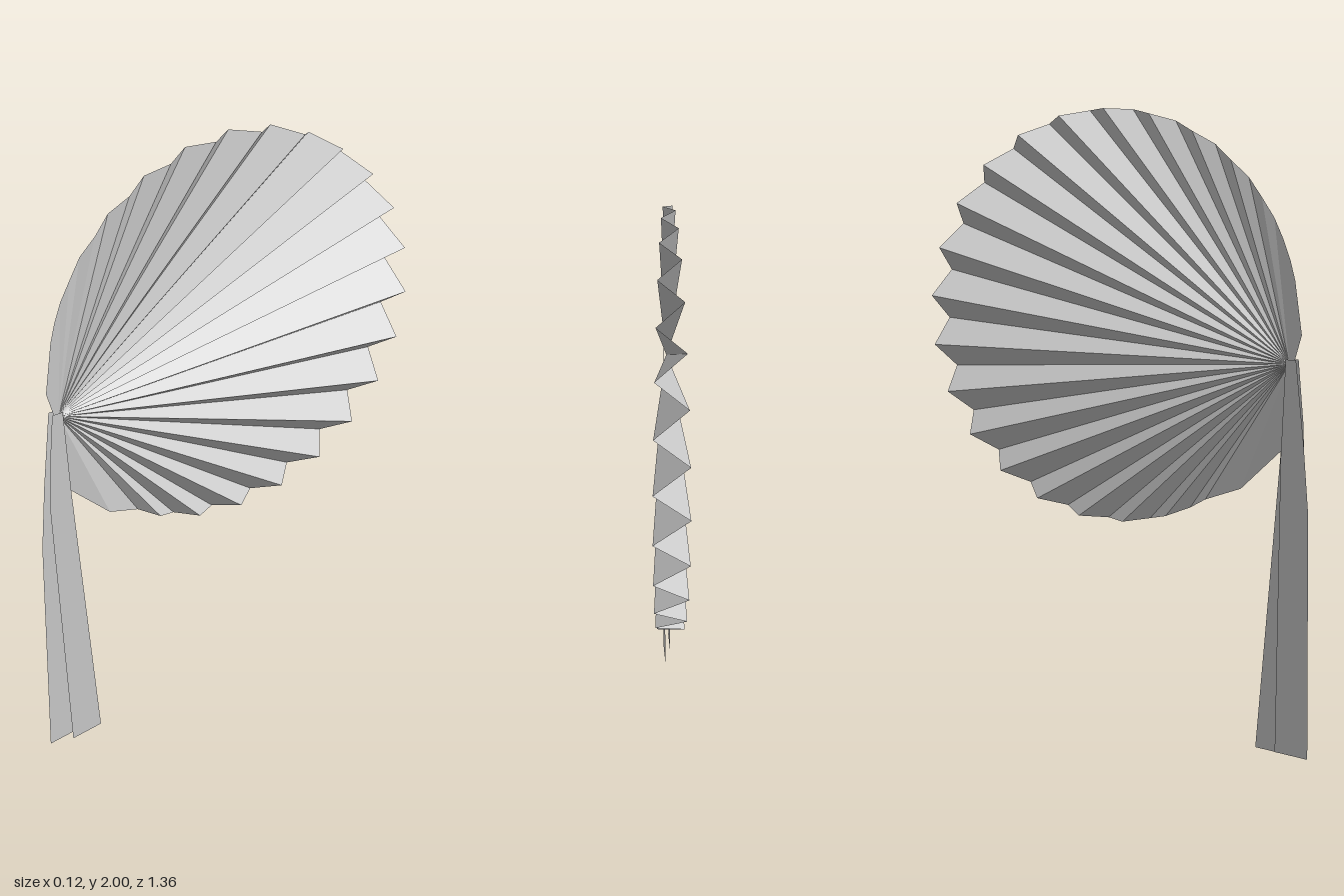
import * as THREE from 'three';

const material = new THREE.MeshStandardMaterial({
  color: 0xcccccc, flatShading: true, side: THREE.DoubleSide,
});

const PIVOT = { z: 0.605, y: 1.23 };            // where all pleats meet
const RIM = { z: -0.02, y: 1.347, r: 0.656 };   // circle the pleats end on
const BACK_X = -0.05;                           // plane of the valley folds
const STEP = THREE.MathUtils.degToRad(3.6);     // angle between folds

// Point where fold k, leaving the pivot, reaches the rim circle
function rimPoint(k) {
  const dz = -Math.cos(k * STEP), dy = Math.sin(k * STEP);
  const oz = PIVOT.z - RIM.z, oy = PIVOT.y - RIM.y;
  const b = oz * dz + oy * dy;
  const t = -b + Math.sqrt(b * b - (oz * oz + oy * oy - RIM.r * RIM.r));
  return foldEnd(PIVOT.z + dz * t, PIVOT.y + dy * t, k % 2 !== 0);
}

// Ridges rise in a straight slope away from the pivot, valleys stay flat
function foldEnd(z, y, ridge) {
  const x = BACK_X + (ridge ? Math.max(0, 0.6 - z) * 0.087 : 0);
  return new THREE.Vector3(x, y, z);
}

// Pleated fan: one triangle per pleat face
function createFan() {
  const ends = [
    foldEnd(0.58, 0.96, false),
    foldEnd(0.44, 0.83, true),
  ];
  for (let k = -16; k <= 26; k++) ends.push(rimPoint(k));
  ends.push(foldEnd(0.645, 1.32, false), foldEnd(0.622, 1.24, false));

  const centre = new THREE.Vector3(BACK_X, PIVOT.y, PIVOT.z);
  const points = [];
  for (let i = 0; i < ends.length - 1; i++) points.push(centre, ends[i + 1], ends[i]);
  const geometry = new THREE.BufferGeometry().setFromPoints(points);
  geometry.computeVertexNormals();
  const fan = new THREE.Mesh(geometry, material);
  fan.name = 'pleatedFan';
  return fan;
}

// Flat hanging strip, outline given as [z, y] pairs
function createStrip(name, x, outline) {
  const shape = new THREE.Shape(outline.map(([z, y]) => new THREE.Vector2(-z, y)));
  const geometry = new THREE.ShapeGeometry(shape).rotateY(Math.PI / 2);
  const strip = new THREE.Mesh(geometry, material);
  strip.name = name;
  strip.position.x = x;
  return strip;
}

export function createModel() {
  const group = new THREE.Group();
  group.name = 'foldedFan';
  group.add(createFan());

  // Two ribbon tails, one on each side of the fan
  group.add(createStrip('innerTail', -0.042, [
    [0.632, 1.245], [0.594, 1.245], [0.575, 0.94], [0.50, 0.01],
    [0.61, 0.0], [0.655, 0.92], [0.65, 1.05],
  ]));
  group.add(createStrip('outerTail', -0.063, [
    [0.632, 1.245], [0.598, 1.245], [0.585, 0.94], [0.575, 0.01],
    [0.685, 0.0], [0.678, 0.77], [0.66, 0.99],
  ]));
  return group;
}
